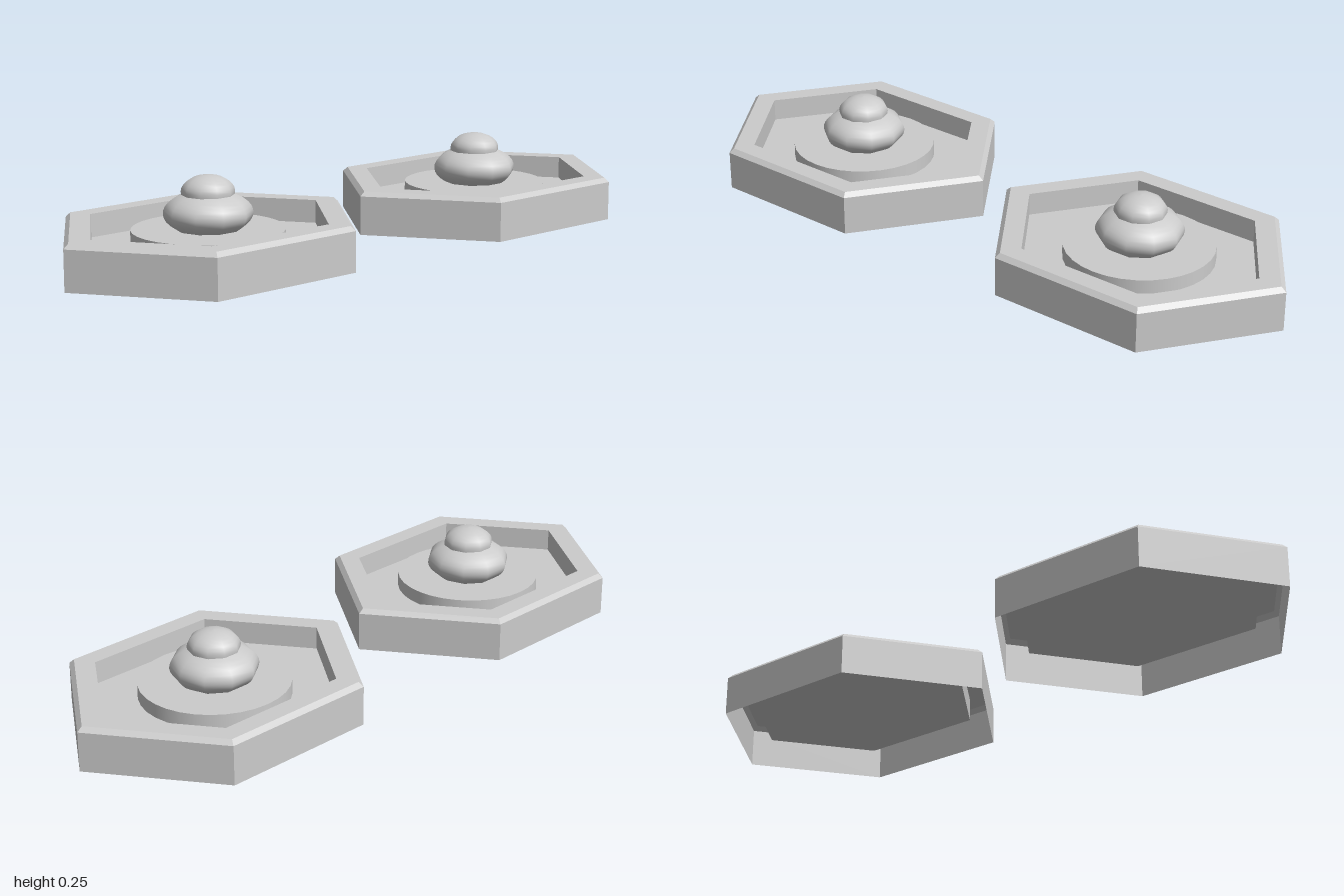
import * as THREE from 'three';

const TIP = 0.4775, HALF_Z = 0.3435, SIDE_X = 0.2385;
const SLOPE = (TIP - SIDE_X) / HALF_Z;
const INRADIUS = TIP / Math.hypot(1, SLOPE);
const FLOOR = 0.062, DISC_TOP = 0.103;

// Squashed hexagon, inset evenly from the outer wall
function hexLoop(inset, y) {
  const tip = TIP * (1 - inset / INRADIUS);
  const z = HALF_Z - inset;
  const x = tip - z * SLOPE;
  return [[tip, 0], [x, z], [-x, z], [-tip, 0], [-x, -z], [x, -z]]
    .map(([px, pz]) => new THREE.Vector3(px, y, pz));
}

// Flat-faced skin through a list of loops
function loft(loops) {
  const points = [];
  for (let k = 0; k < loops.length - 1; k++) {
    const a = loops[k], b = loops[k + 1];
    for (let i = 0; i < a.length; i++) {
      const j = (i + 1) % a.length;
      points.push(a[i], b[i], a[j]);
      if (!b[i].equals(b[j])) points.push(b[i], b[j], a[j]);
    }
  }
  const geometry = new THREE.BufferGeometry().setFromPoints(points);
  geometry.computeVertexNormals();
  return geometry;
}

// Points of an elliptical profile between two heights
function bulge(radius, halfHeight, centreY, fromY, toY, steps) {
  const a0 = Math.asin((fromY - centreY) / halfHeight);
  const a1 = Math.asin(Math.min(1, (toY - centreY) / halfHeight));
  return Array.from({ length: steps + 1 }, (_, i) => {
    const a = a0 + (a1 - a0) * i / steps;
    return new THREE.Vector2(Math.max(0, radius * Math.cos(a)), centreY + halfHeight * Math.sin(a));
  });
}

function createUnit() {
  const unit = new THREE.Group();
  const material = new THREE.MeshStandardMaterial({ color: 0xcccccc, side: THREE.DoubleSide });
  const add = (name, geometry) => {
    const mesh = new THREE.Mesh(geometry, material);
    mesh.name = name;
    unit.add(mesh);
    return mesh;
  };

  // Open-bottomed tray: wall, bevel, rim, recess wall and floor
  add('hexagonalTray', loft([
    hexLoop(0, 0), hexLoop(0, 0.116), hexLoop(0.013, 0.129),
    hexLoop(0.07, 0.129), hexLoop(0.07, FLOOR),
    Array.from({ length: 6 }, () => new THREE.Vector3(0, FLOOR, 0)),
  ]));

  // Raised disc: side and top
  const discHeight = DISC_TOP - FLOOR;
  add('discSide', new THREE.CylinderGeometry(0.215, 0.215, discHeight, 32, 1, true))
    .position.y = FLOOR + discHeight / 2;
  const top = add('discTop', new THREE.CircleGeometry(0.215, 32));
  top.rotation.x = -Math.PI / 2;
  top.position.y = DISC_TOP;

  // Two stacked ten-sided domes, with a corner on the x axis
  const domes = {
    lowerDome: bulge(0.125, 0.065, 0.147, DISC_TOP, 0.202, 10),
    upperDome: bulge(0.075, 0.047, 0.207, 0.199, 0.254, 8),
  };
  for (const [name, profile] of Object.entries(domes)) {
    add(name, new THREE.LatheGeometry(profile, 10, Math.PI / 2));
  }
  return unit;
}

export function createModel() {
  const model = new THREE.Group();
  model.name = 'hexagonalPair';
  for (const [name, side] of [['leftUnit', 1], ['rightUnit', -1]]) {
    const unit = createUnit();
    unit.name = name;
    unit.position.x = side * 0.5225;
    model.add(unit);
  }
  return model;
}
